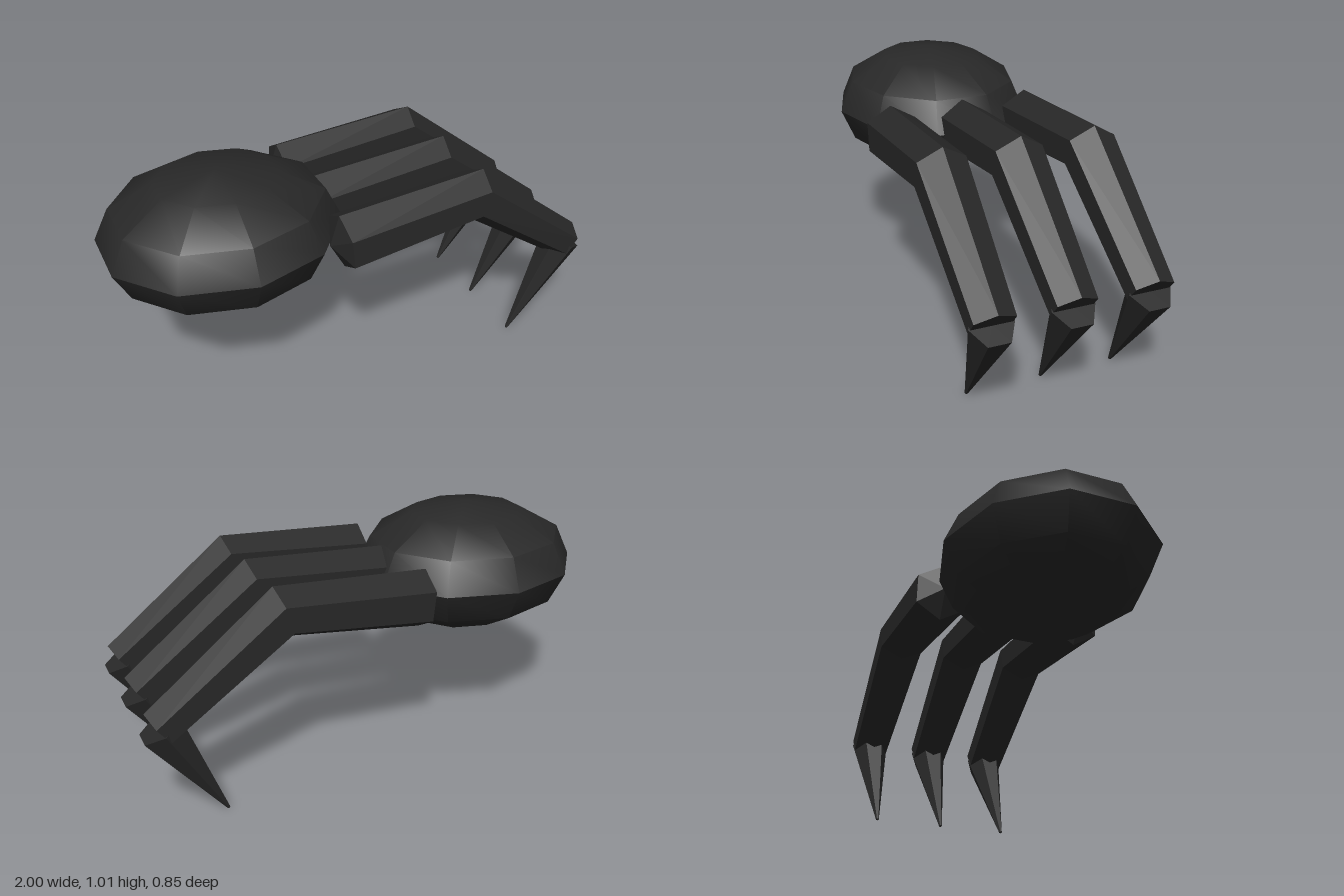
import * as THREE from 'three';
import { toCreasedNormals } from 'three/addons/utils/BufferGeometryUtils.js';

// Faceted six-sided loft. Each ring: centre (x, y), up vector (ux, uy), z radius r.
function hexLoft(rings, startCap, endCap, phase = 0) {
  const pos = [];
  const pts = rings.map(({ x, y, ux, uy, r }) => {
    const ring = [];
    for (let k = 0; k < 6; k++) {
      const a = phase + (k * Math.PI) / 3;
      ring.push([x + ux * Math.cos(a), y + uy * Math.cos(a), r * Math.sin(a)]);
    }
    return ring;
  });
  const tri = (...corners) => corners.forEach((c) => pos.push(...c));
  const last = pts.length - 1;
  for (let k = 0; k < 6; k++) {
    const n = (k + 1) % 6;
    for (let i = 0; i < last; i++) {
      tri(pts[i][k], pts[i][n], pts[i + 1][k]);
      tri(pts[i][n], pts[i + 1][n], pts[i + 1][k]);
    }
    tri(startCap, pts[0][n], pts[0][k]);
    tri(endCap, pts[last][k], pts[last][n]);
  }
  const geo = new THREE.BufferGeometry();
  geo.setAttribute('position', new THREE.Float32BufferAttribute(pos, 3));
  geo.computeVertexNormals();
  return geo;
}

export function createModel() {
  const model = new THREE.Group();
  const charcoal = new THREE.MeshStandardMaterial({ color: 0x282828 });
  charcoal.name = 'charcoal';

  // Flattened body, smooth with a crease around its middle
  const bodyGeo = new THREE.SphereGeometry(1, 10, 6);
  bodyGeo.rotateY(Math.PI / 10);
  bodyGeo.scale(0.489, 0.266, 0.427);
  const body = new THREE.Mesh(toCreasedNormals(bodyGeo, 0.7), charcoal);
  body.name = 'body';
  body.position.set(-0.535, 0.74, 0);
  model.add(body);

  // Bent limb: shoulder, knee, wrist
  const limbGeo = hexLoft(
    [
      { x: -0.155, y: 0.745, ux: -0.012, uy: 0.12, r: 0.12 },
      { x: 0.44, y: 0.8, ux: 0.03, uy: 0.105, r: 0.11 },
      { x: 0.93, y: 0.435, ux: 0.05, uy: 0.065, r: 0.09 },
    ],
    [-0.205, 0.74, 0],
    [0.93, 0.435, 0]
  );

  // Claw tapering down and back to a fine point
  const clawGeo = hexLoft(
    [
      { x: 0.925, y: 0.433, ux: 0.081, uy: -0.042, r: 0.085 },
      { x: 0.69, y: 0.004, ux: 0.006, uy: -0.003, r: 0.007 },
    ],
    [0.925, 0.433, 0],
    [0.688, 0, 0],
    Math.PI / 6
  );

  // Three matching legs
  const places = { leftwardLeg: 0.305, middleLeg: 0, rearLeg: -0.305 };
  for (const [name, z] of Object.entries(places)) {
    const leg = new THREE.Group();
    leg.name = name === 'leftwardLeg' ? 'frontLeg' : name;
    const limb = new THREE.Mesh(limbGeo, charcoal);
    limb.name = 'limb';
    const claw = new THREE.Mesh(clawGeo, charcoal);
    claw.name = 'claw';
    leg.add(limb, claw);
    leg.position.z = z;
    model.add(leg);
  }
  return model;
}
